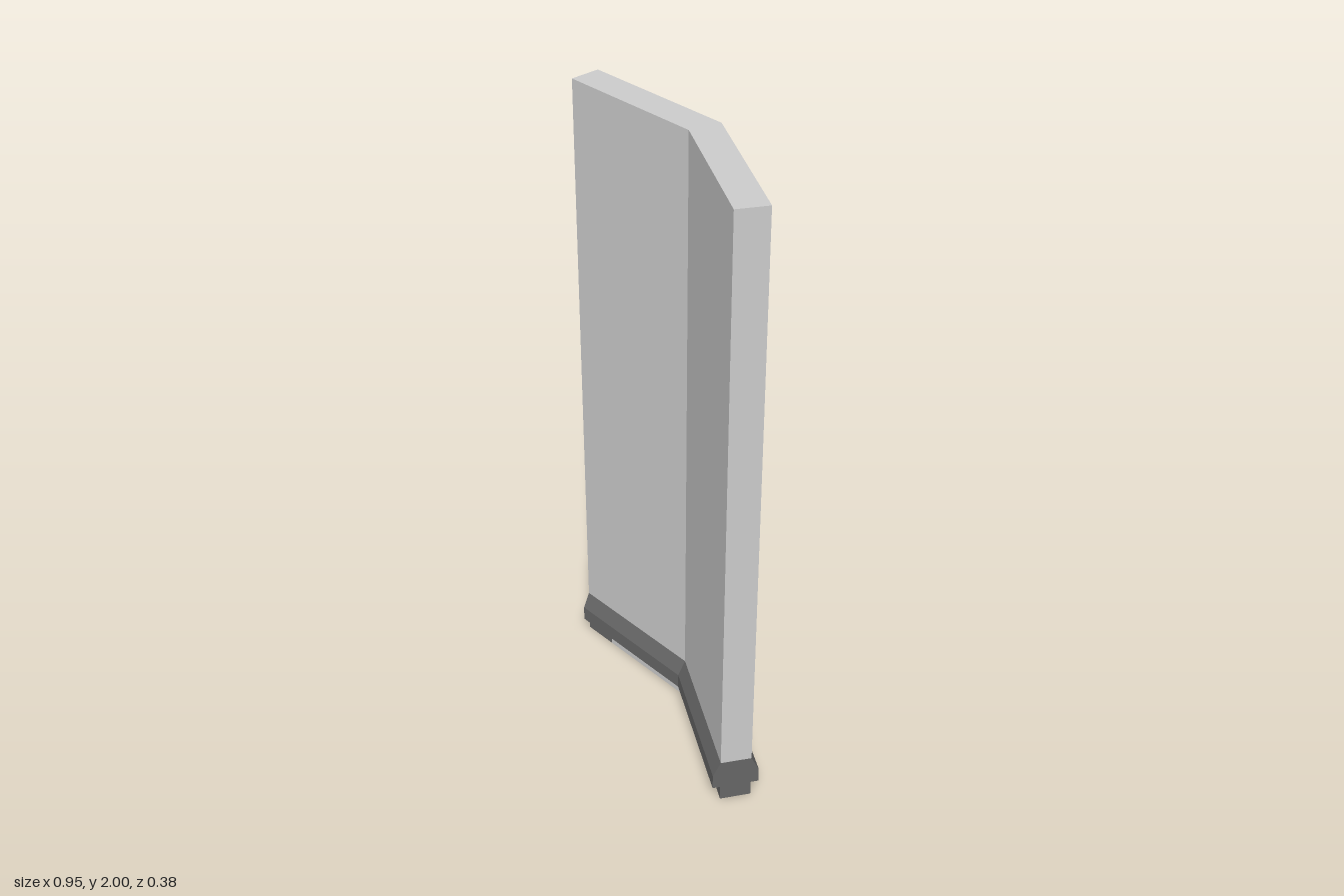
import * as THREE from 'three';

// Plan centre line of the bent panel: left end, bend, right end (x, z)
const LEFT = [-0.475, -0.118], BEND = [0.0135, -0.118], RIGHT = [0.435, 0.127];
const ANGLE = Math.PI / 6; // bend between the two wings
const PANEL_HALF = 0.048, RAIL_HALF = 0.072;

// A station is a plan point with a backward-pointing offset direction
const lerp = (a, b, t) => [a[0] + (b[0] - a[0]) * t, a[1] + (b[1] - a[1]) * t];
const station = (p, angle, scale = 1) => ({ p, n: [Math.sin(angle) * scale, -Math.cos(angle) * scale] });
const onLeft = t => station(lerp(BEND, LEFT, t), 0);
const onRight = t => station(lerp(BEND, RIGHT, t), ANGLE);
const mitre = station(BEND, ANGLE / 2, 1 / Math.cos(ANGLE / 2));

// Sweep a convex (offset, height) profile through the stations, with closed ends
function sweep(name, profile, stations, material) {
  const rings = stations.map(({ p, n }) =>
    profile.map(([h, y]) => [p[0] + n[0] * h, y, p[1] + n[1] * h]));
  const pos = [];
  const tri = (a, b, c) => pos.push(...a, ...b, ...c);
  const count = profile.length;
  for (let s = 0; s < rings.length - 1; s++) {
    const a = rings[s], b = rings[s + 1];
    for (let i = 0; i < count; i++) {
      const j = (i + 1) % count;
      tri(a[i], a[j], b[j]);
      tri(a[i], b[j], b[i]);
    }
  }
  const first = rings[0], last = rings[rings.length - 1];
  for (let i = 1; i < count - 1; i++) {
    tri(first[0], first[i + 1], first[i]);
    tri(last[0], last[i], last[i + 1]);
  }
  const geometry = new THREE.BufferGeometry();
  geometry.setAttribute('position', new THREE.Float32BufferAttribute(pos, 3));
  geometry.computeVertexNormals();
  const mesh = new THREE.Mesh(geometry, material);
  mesh.name = name;
  return mesh;
}

const slab = (y0, y1) => [[-PANEL_HALF, y0], [PANEL_HALF, y0], [PANEL_HALF, y1], [-PANEL_HALF, y1]];

export function createModel() {
  const group = new THREE.Group();
  group.name = 'bentWallPanel';
  const light = new THREE.MeshStandardMaterial({ color: 0xcccccc, flatShading: true });
  const dark = new THREE.MeshStandardMaterial({ color: 0x666666, flatShading: true });
  const footLeft = 0.765, footRight = 0.765; // where the feet begin along each wing

  // Tall panel above the rail
  group.add(sweep('panel', slab(0.15, 2), [onLeft(1), mitre, onRight(1)], light));

  // Skirting rail with a chamfered upper edge
  const railProfile = [
    [-RAIL_HALF, 0.05], [RAIL_HALF, 0.05], [RAIL_HALF, 0.1],
    [PANEL_HALF, 0.15], [-PANEL_HALF, 0.15], [-RAIL_HALF, 0.1],
  ];
  group.add(sweep('baseRail', railProfile, [onLeft(1), mitre, onRight(1)], dark));

  // Recessed strip between the feet, and a foot at each end
  group.add(sweep('baseStrip', slab(0, 0.05), [onLeft(footLeft), mitre, onRight(footRight)], light));
  group.add(sweep('rightFoot', slab(0, 0.05), [onLeft(1), onLeft(footLeft)], dark));
  group.add(sweep('leftFoot', slab(0, 0.05), [onRight(footRight), onRight(1)], dark));
  return group;
}
